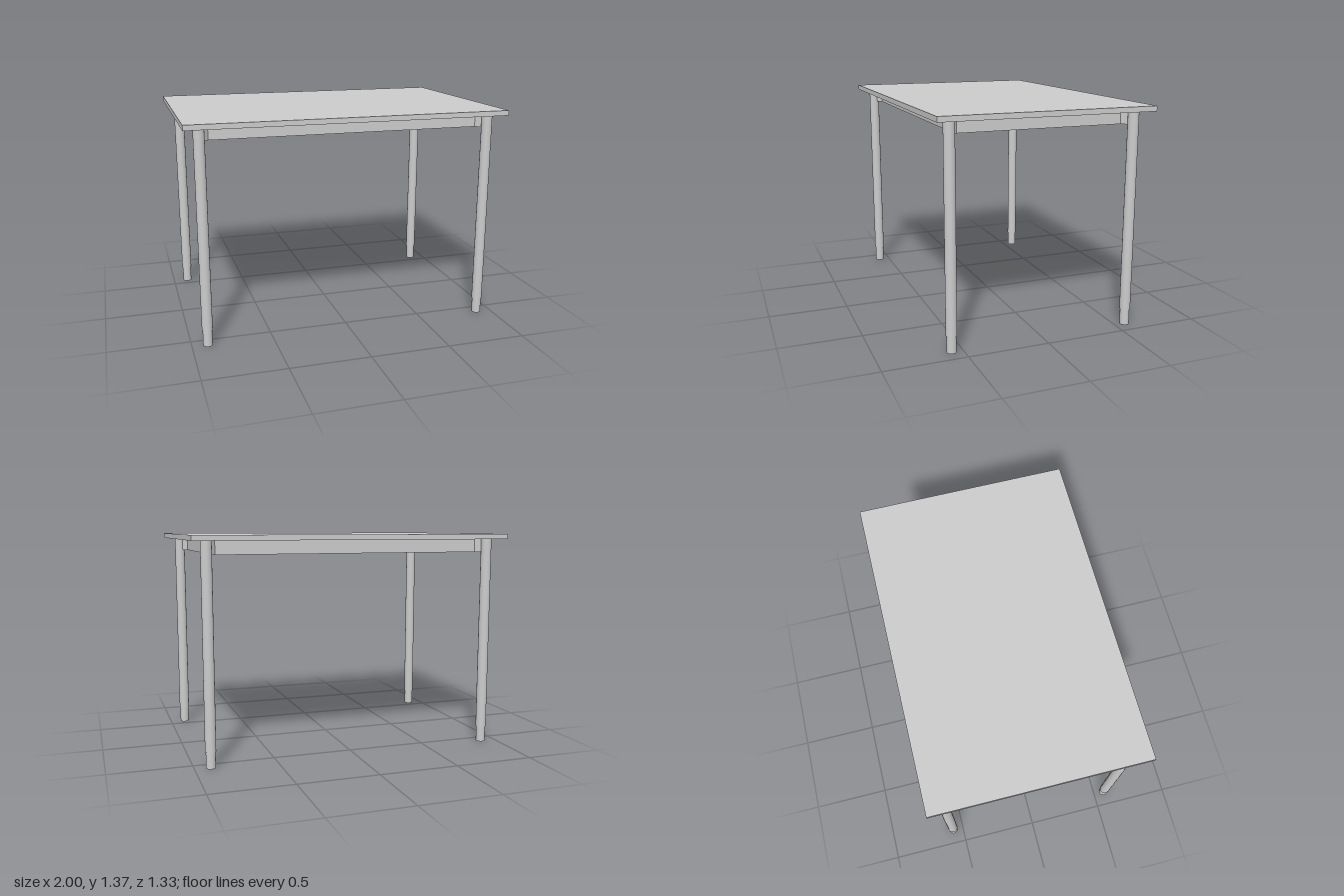
import * as THREE from 'three';

const material = new THREE.MeshStandardMaterial({ color: 0xcccccc });

function addMesh(parent, name, geometry, x = 0, y = 0, z = 0) {
  const mesh = new THREE.Mesh(geometry, material);
  mesh.name = name;
  mesh.position.set(x, y, z);
  parent.add(mesh);
  return mesh;
}

// Corner points of a centred rectangle with half sizes x and z
const rectangle = (x, z) => [[-x, -z], [x, -z], [x, z], [-x, z]].map(([a, b]) => new THREE.Vector2(a, b));

export function createModel() {
  const table = new THREE.Group();
  table.name = 'table';

  const height = 1.368, underside = 1.336, apronBottom = 1.252, footTop = 0.1;
  const apronHeight = underside - apronBottom;
  const legX = 0.903, legZ = 0.569;

  // Flat top
  addMesh(table, 'tabletop', new THREE.BoxGeometry(2, height - underside, 1.33), 0, (height + underside) / 2, 0);

  // Apron: a closed rectangular frame under the top
  const frame = new THREE.Shape(rectangle(0.857, 0.523));
  frame.holes.push(new THREE.Path(rectangle(0.837, 0.503)));
  const apronGeometry = new THREE.ExtrudeGeometry(frame, { depth: apronHeight, bevelEnabled: false });
  apronGeometry.rotateX(-Math.PI / 2);
  addMesh(table, 'apron', apronGeometry, 0, apronBottom, 0);

  // Round legs with narrower feet, joined to the apron corners by diagonal brackets
  const legGeometry = new THREE.CylinderGeometry(0.033, 0.033, underside - footTop, 32);
  const footGeometry = new THREE.CylinderGeometry(0.029, 0.029, footTop, 32);
  const bracketGeometry = new THREE.BoxGeometry(0.06, apronHeight, 0.018);
  for (const sx of [-1, 1]) {
    for (const sz of [-1, 1]) {
      const corner = new THREE.Group();
      corner.name = `${sz > 0 ? 'front' : 'back'}${sx > 0 ? 'Left' : 'Right'}Leg`;
      corner.position.set(sx * legX, 0, sz * legZ);
      addMesh(corner, 'legTube', legGeometry, 0, (underside + footTop) / 2, 0);
      addMesh(corner, 'foot', footGeometry, 0, footTop / 2, 0);
      const bracket = addMesh(corner, 'bracket', bracketGeometry, -sx * 0.036, (underside + apronBottom) / 2, -sz * 0.036);
      bracket.rotation.y = -sx * sz * Math.PI / 4;
      table.add(corner);
    }
  }
  return table;
}
